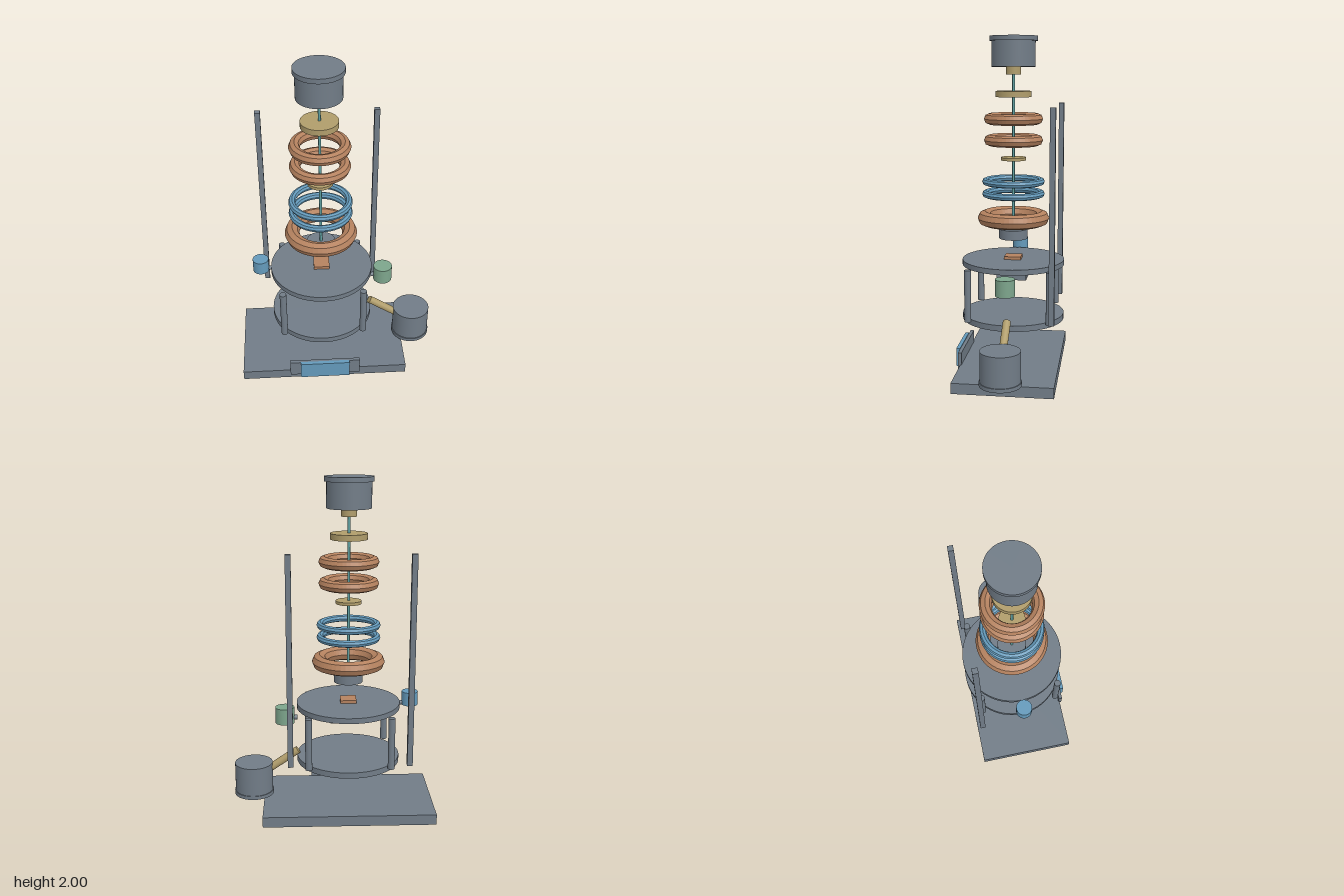
import * as THREE from 'three';

const mat = (name, color, flatShading = false) => {
  const m = new THREE.MeshStandardMaterial({ color, flatShading });
  m.name = name;
  return m;
};

export function createModel() {
  const steel = mat('steel grey', 0x717c87);
  const copper = mat('copper', 0xb5825f, true);
  const brass = mat('brass', 0xb09d6b);
  const blue = mat('blue', 0x649abb);
  const ringBlue = mat('ring blue', 0x649abb, true);
  const green = mat('green', 0x7da58c);
  const teal = mat('teal', 0x5f9f9f);

  const AX = -0.095, AZ = -0.01; // main vertical axis
  const model = new THREE.Group();
  model.name = 'explodedColumn';

  const add = (name, geo, material, x, y, z) => {
    const mesh = new THREE.Mesh(geo, material);
    mesh.name = name;
    mesh.position.set(x, y, z);
    model.add(mesh);
    return mesh;
  };
  // box and upright cylinder given by their lower and upper heights
  const box = (name, m, w, d, y0, y1, x = AX, z = AZ) =>
    add(name, new THREE.BoxGeometry(w, y1 - y0, d), m, x, (y0 + y1) / 2, z);
  const cyl = (name, m, r, y0, y1, x = AX, z = AZ, sides = 64) =>
    add(name, new THREE.CylinderGeometry(r, r, y1 - y0, sides), m, x, (y0 + y1) / 2, z);
  // cylinder between two points in the plane z = AZ
  const rod = (name, m, r, x0, y0, x1, y1) => {
    const mesh = add(name, new THREE.CylinderGeometry(r, r, Math.hypot(x1 - x0, y1 - y0), 24), m,
      (x0 + x1) / 2, (y0 + y1) / 2, AZ);
    mesh.rotation.z = Math.atan2(y1 - y0, x1 - x0) - Math.PI / 2;
  };
  const ring = (name, m, outer, tube, y) => {
    const geo = new THREE.TorusGeometry(outer - tube, tube, 8, 48).rotateX(Math.PI / 2);
    add(name, geo, m, AX, y, AZ);
  };

  // base with front panel
  box('base', steel, 1.023, 0.585, 0, 0.063, -0.0935, -0.01);
  box('panelPlate', steel, 0.435, 0.021, 0.035, 0.138, -0.0925, 0.2855);
  box('panelScreen', blue, 0.305, 0.023, 0.032, 0.143, -0.0925, 0.307);

  // cage of two discs and four posts
  cyl('lowerDisc', steel, 0.308, 0.31, 0.345);
  cyl('upperDisc', steel, 0.308, 0.645, 0.677);
  for (const sx of [-1, 1]) {
    for (const sz of [-1, 1]) {
      cyl('post', steel, 0.02, 0.34, 0.652, AX + sx * 0.24, AZ + sz * 0.24, 24);
    }
    // tall rear rails
    box('rail', steel, 0.032, 0.032, 0.37, 1.603, AX + sx * 0.345, -0.271);
  }

  // fittings at the middle of the upper disc
  box('copperPad', copper, 0.095, 0.1, 0.676, 0.695);
  cyl('hub', brass, 0.042, 0.603, 0.646);
  box('hubPlate', steel, 0.215, 0.178, 0.567, 0.604);

  // side canisters on short arms
  cyl('blueCanister', blue, 0.048, 0.653, 0.735, -0.465, AZ, 48);
  rod('blueCanisterArm', steel, 0.013, -0.46, 0.664, -0.39, 0.664);
  cyl('greenCanister', green, 0.057, 0.545, 0.643, 0.285, AZ, 48);
  rod('greenCanisterArm', steel, 0.014, 0.21, 0.578, 0.28, 0.578);

  // drain pipe and collecting pot
  rod('drainPipe', brass, 0.023, 0.208, 0.368, 0.4, 0.237);
  cyl('pot', steel, 0.114, 0.1, 0.29, 0.479, AZ);
  cyl('potFlange', steel, 0.119, 0.093, 0.115, 0.479, AZ);

  // stacked column on the centre rod
  cyl('centreRod', teal, 0.008, 0.83, 1.8, AX, AZ, 16);
  cyl('columnFoot', steel, 0.086, 0.802, 0.86);
  ring('largeCopperRing', copper, 0.215, 0.044, 0.927);
  for (const y of [1.074, 1.148]) ring('blueRing', ringBlue, 0.187, 0.021, y);
  cyl('smallBrassDisc', brass, 0.075, 1.275, 1.293);
  for (const y of [1.394, 1.52]) ring('copperRing', copper, 0.175, 0.033, y);
  cyl('brassDisc', brass, 0.107, 1.648, 1.683);

  // head
  cyl('headCollar', brass, 0.045, 1.777, 1.825);
  cyl('head', steel, 0.129, 1.823, 1.98);
  cyl('headCap', steel, 0.141, 1.972, 2);

  return model;
}
